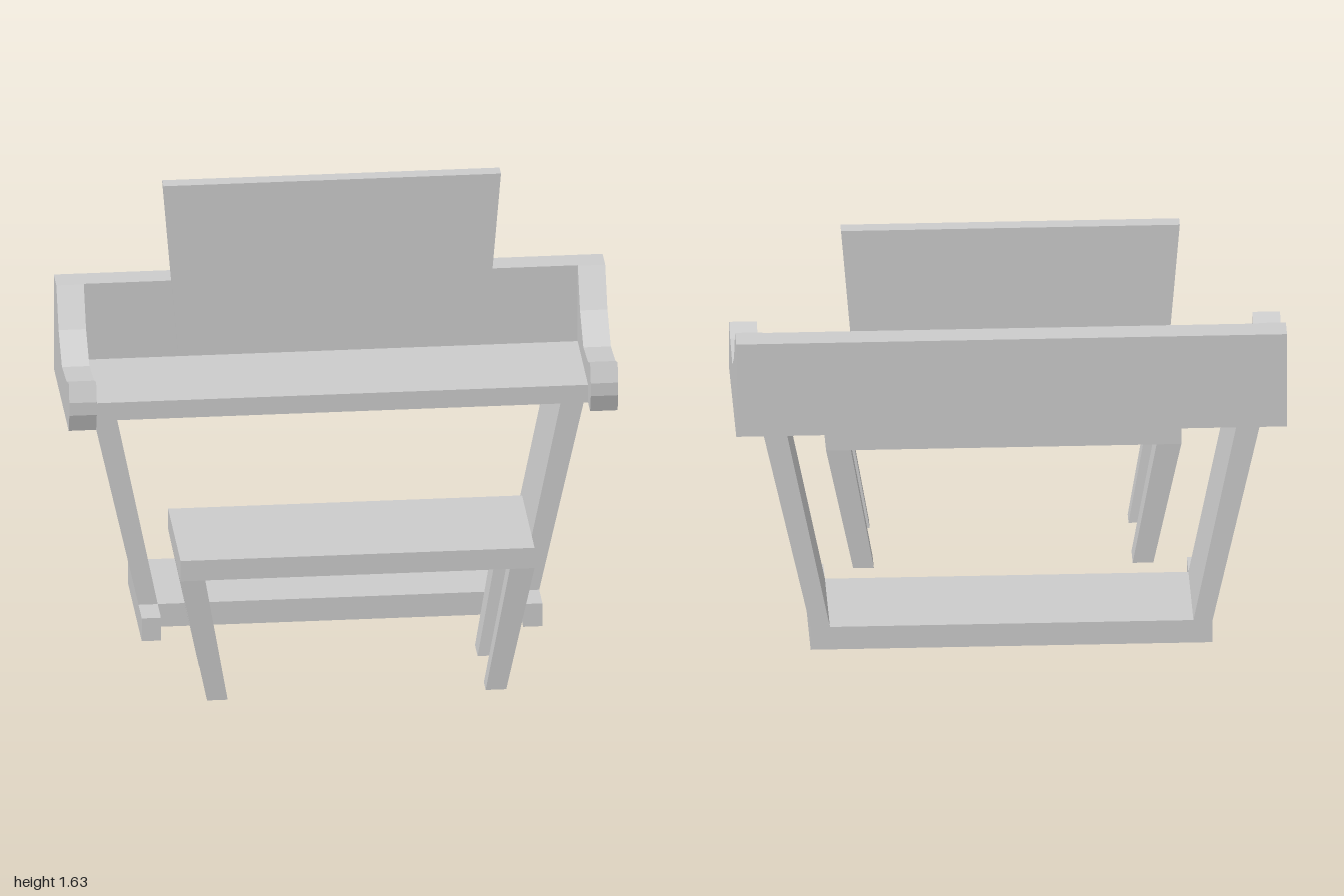
import * as THREE from 'three';

const material = new THREE.MeshStandardMaterial({ color: 0xcccccc, flatShading: true });

function add(parent, name, geometry) {
  const mesh = new THREE.Mesh(geometry, material);
  mesh.name = name;
  parent.add(mesh);
  return mesh;
}

// Box from its minimum and maximum on each axis
function block(parent, name, [x0, x1], [y0, y1], [z0, z1]) {
  const g = new THREE.BoxGeometry(x1 - x0, y1 - y0, z1 - z0);
  g.translate((x0 + x1) / 2, (y0 + y1) / 2, (z0 + z1) / 2);
  return add(parent, name, g);
}

// Outline in x, y extruded from z0 to z1
function slab(points, z0, z1) {
  const shape = new THREE.Shape(points.map(([x, y]) => new THREE.Vector2(x, y)));
  const g = new THREE.ExtrudeGeometry(shape, { depth: z1 - z0, bevelEnabled: false });
  return g.translate(0, 0, z0);
}

// Four-sided leg whose bottom and top rectangles differ: [x0, x1, z0, z1]
function taperedLeg(bottom, top, height) {
  const g = new THREE.BoxGeometry(1, height, 1).translate(0, height / 2, 0);
  const p = g.attributes.position;
  for (let i = 0; i < p.count; i++) {
    const [x0, x1, z0, z1] = p.getY(i) > height / 2 ? top : bottom;
    p.setX(i, p.getX(i) > 0 ? x1 : x0);
    p.setZ(i, p.getZ(i) > 0 ? z1 : z0);
  }
  g.computeVertexNormals();
  return g;
}

const mirrorX = (points, s) => points.map(([x, y]) => [s * x, y]);

export function createModel() {
  const model = new THREE.Group();
  model.name = 'pianoAndBench';

  const piano = new THREE.Group();
  piano.name = 'piano';
  model.add(piano);

  // Body: key shelf, back panel, floor beam
  block(piano, 'keyShelf', [-0.9, 0.9], [0.86, 0.93], [-0.48, -0.07]);
  block(piano, 'backPanel', [-0.9, 0.9], [0.86, 1.23], [-0.565, -0.47]);
  block(piano, 'floorBeam', [-0.66, 0.66], [0, 0.09], [-0.565, -0.155]);

  // Music board, wider at the top
  add(piano, 'musicBoard',
    slab([[-0.56, 0.965], [0.56, 0.965], [0.615, 1.63], [-0.615, 1.63]], -0.465, -0.41));

  // Side cheek profile: horizontal is -z
  const cheek = [
    [0.565, 0.86], [0.565, 1.23], [0.465, 1.23], [0.38, 1.09], [0.25, 1.0],
    [0.07, 1.02], [-0.01, 1.05], [-0.035, 0.98], [-0.035, 0.93], [-0.01, 0.86],
  ];
  const legOutline = [[0.66, 0], [0.73, 0], [0.73, 0.09], [0.9, 0.86], [0.815, 0.86], [0.66, 0.09]];

  for (const [side, s] of [['left', 1], ['right', -1]]) {
    // After the turn the extrusion runs along x
    const g = slab(cheek, 0, 0.1).rotateY(Math.PI / 2);
    add(piano, side + 'Cheek', g.translate(s > 0 ? 0.9 : -1, 0, 0));
    add(piano, side + 'Leg', slab(mirrorX(legOutline, s), -0.565, -0.155));
    block(piano, side + 'Foot', s > 0 ? [0.66, 0.73] : [-0.73, -0.66], [0, 0.09], [-0.155, -0.03]);
  }

  // Bench with splayed tapered legs
  const bench = new THREE.Group();
  bench.name = 'bench';
  model.add(bench);
  block(bench, 'seat', [-0.645, 0.645], [0.49, 0.57], [0.085, 0.565]);
  const legs = {
    Front: [[0.46, 0.53], [0.48, 0.565]],
    Back: [[0.12, 0.22], [0.085, 0.205]],
  };
  for (const [end, [low, high]] of Object.entries(legs)) {
    add(bench, 'left' + end + 'BenchLeg',
      taperedLeg([0.47, 0.545, ...low], [0.555, 0.645, ...high], 0.49));
    add(bench, 'right' + end + 'BenchLeg',
      taperedLeg([-0.545, -0.47, ...low], [-0.645, -0.555, ...high], 0.49));
  }
  return model;
}
